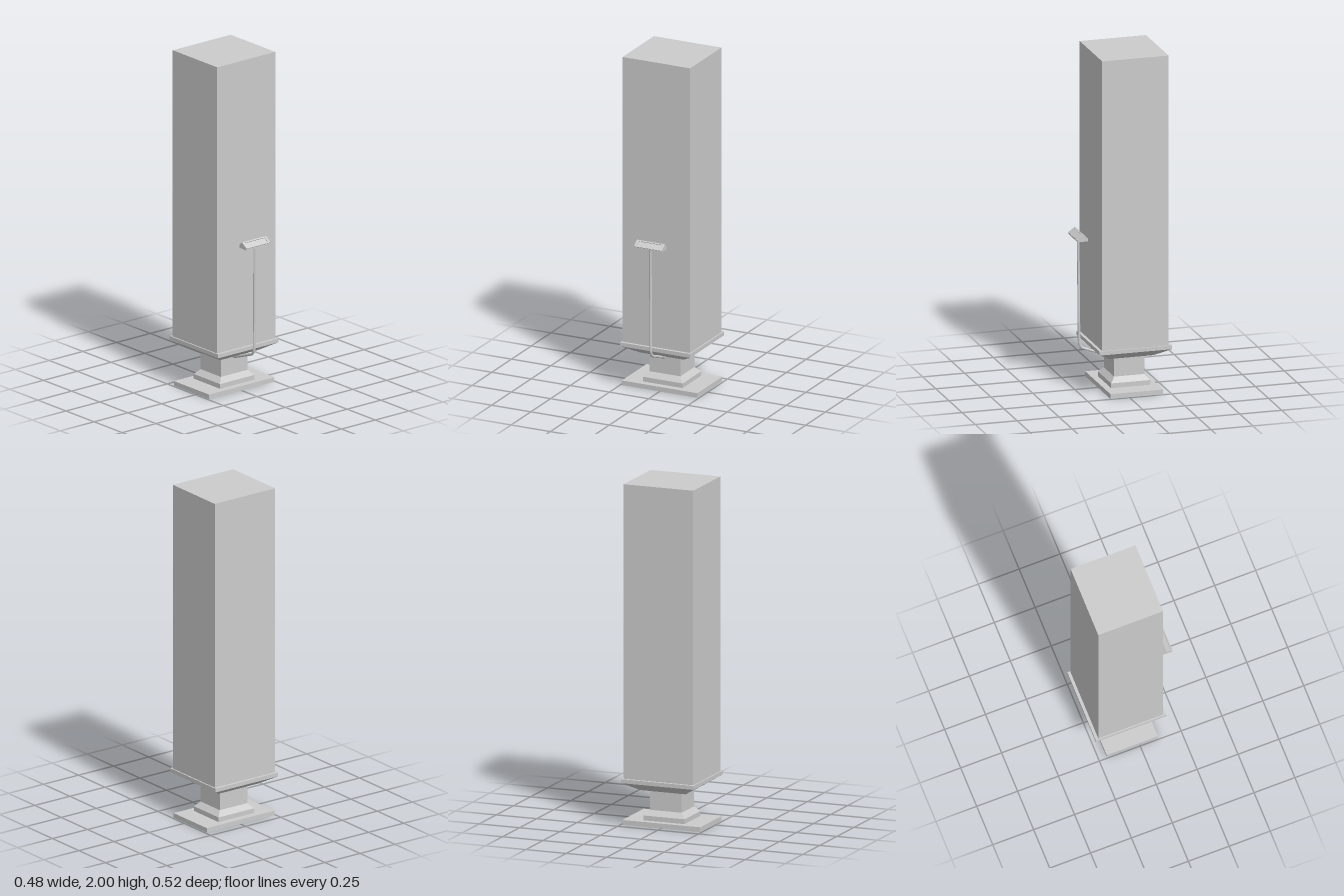
import * as THREE from 'three';

const material = new THREE.MeshStandardMaterial({ color: 0xcccccc, flatShading: true });
const CENTER_Z = -0.045;

function add(parent, name, geometry) {
  const mesh = new THREE.Mesh(geometry, material);
  mesh.name = name;
  parent.add(mesh);
  return mesh;
}

// Rectangular tier between two heights; sizes are [width, depth] at bottom and top
function tier(parent, name, y0, y1, bottom, top = bottom) {
  const geometry = new THREE.BoxGeometry(1, y1 - y0, 1);
  const p = geometry.attributes.position;
  for (let i = 0; i < p.count; i++) {
    const [w, d] = p.getY(i) > 0 ? top : bottom;
    p.setX(i, p.getX(i) * w);
    p.setZ(i, p.getZ(i) * d);
  }
  geometry.computeVertexNormals();
  add(parent, name, geometry).position.set(0, (y0 + y1) / 2, CENTER_Z);
}

export function createModel() {
  const model = new THREE.Group();
  model.name = 'pillarDisplay';

  // Stepped foot and tall rectangular body
  tier(model, 'basePlate', 0, 0.028, [0.482, 0.314]);
  tier(model, 'footBlock', 0.028, 0.056, [0.254, 0.234]);
  tier(model, 'footSlope', 0.056, 0.086, [0.254, 0.234], [0.196, 0.18]);
  tier(model, 'neck', 0.086, 0.206, [0.196, 0.18]);
  tier(model, 'undersideTaper', 0.206, 0.257, [0.28, 0.262], [0.446, 0.431]);
  tier(model, 'bodyLedge', 0.257, 0.28, [0.446, 0.431]);
  tier(model, 'body', 0.28, 2, [0.43, 0.396]);

  // Bent arm rising from the neck
  const path = new THREE.CurvePath();
  const v = (y, z) => new THREE.Vector3(0, y, z);
  path.add(new THREE.LineCurve3(v(0.182, 0.035), v(0.242, 0.2)));
  path.add(new THREE.QuadraticBezierCurve3(v(0.242, 0.2), v(0.252, 0.223), v(0.29, 0.224)));
  path.add(new THREE.LineCurve3(v(0.29, 0.224), v(0.905, 0.229)));
  add(model, 'arm', new THREE.TubeGeometry(path, 90, 0.008, 8));

  // Console head: side profile extruded along x
  const head = new THREE.Group();
  head.name = 'consoleHead';
  model.add(head);
  const profile = new THREE.Shape([
    [-0.26, 0.9], [-0.199, 0.9], [-0.199, 0.918], [-0.219, 0.936], [-0.26, 0.907],
  ].map(([z, y]) => new THREE.Vector2(z, y)));
  const housing = add(head, 'consoleHousing',
    new THREE.ExtrudeGeometry(profile, { depth: 0.178, bevelEnabled: false }));
  housing.rotation.y = Math.PI / 2;
  housing.position.x = -0.089;

  // Sloped frame around the recessed panel
  const rect = (target, w, h) => target.moveTo(-w, -h).lineTo(w, -h).lineTo(w, h).lineTo(-w, h).closePath();
  const frameShape = rect(new THREE.Shape(), 0.089, 0.0245);
  frameShape.holes.push(rect(new THREE.Path(), 0.075, 0.0165));
  const frame = add(head, 'panelFrame',
    new THREE.ExtrudeGeometry(frameShape, { depth: 0.004, bevelEnabled: false }));
  frame.rotation.x = -Math.atan2(0.041, 0.029);
  frame.position.set(0, 0.9215, 0.2395);

  return model;
}
